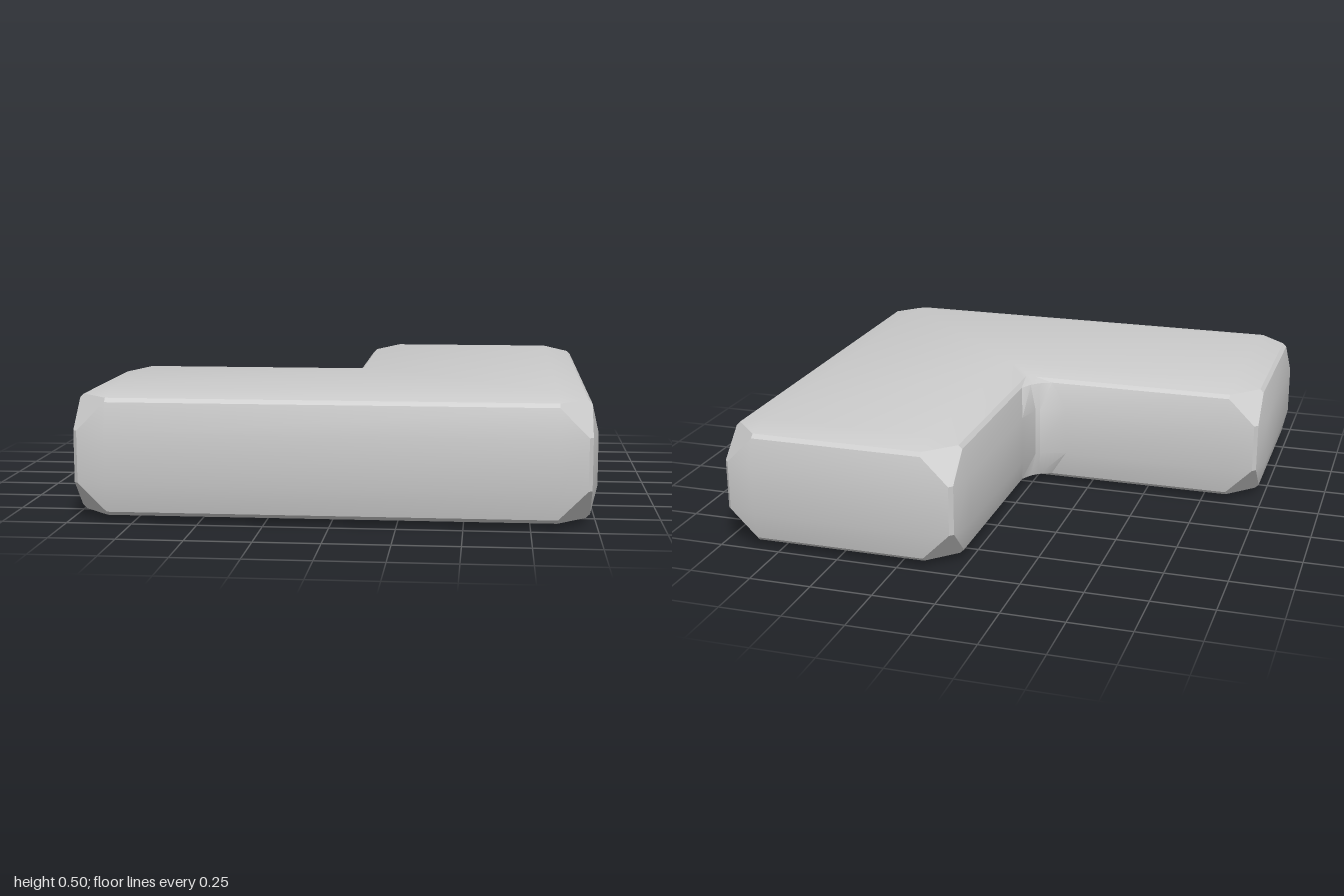
import * as THREE from 'three';
import { toCreasedNormals } from 'three/addons/utils/BufferGeometryUtils.js';

// L-shaped outline [x, z], clockwise seen from above; index 1 is the inner corner
const corners = [[-1, 0], [0, 0], [0, -1], [1, -1], [1, 1], [-1, 1]];
const INNER = 1;
const HEIGHT = 0.5;

// Each level: depth from the top face, and half a corner's points as
// [back along the incoming edge, forward along the outgoing edge]
const levels = [
  { depth: 0, outer: [[0.15, 0.15], [0.15, 0.15]], inner: [[-0.15, -0.15], [-0.15, -0.15]] },
  { depth: 0.025, outer: [[0.15, 0.04], [0.15, 0.04]], inner: [[0, -0.04], [-0.03, -0.04]] },
  { depth: 0.04, outer: [[0.15, 0.025], [0.15, 0.025]], inner: [[0.08, -0.025], [0.03, 0]] },
  { depth: 0.15, outer: [[0.15, 0], [0.04, 0.025]], inner: [[0.15, 0], [0.04, 0.025]] },
];

// Closed ring of points, four per corner
function ring(level, y) {
  const n = corners.length;
  return corners.flatMap(([x, z], i) => {
    const [px, pz] = corners[(i + n - 1) % n];
    const [nx, nz] = corners[(i + 1) % n];
    const din = [Math.sign(x - px), Math.sign(z - pz)];
    const dout = [Math.sign(nx - x), Math.sign(nz - z)];
    const half = i === INNER ? level.inner : level.outer;
    const all = [...half, ...half.map(([p, q]) => [q, p]).reverse()];
    return all.map(([p, q]) => new THREE.Vector3(
      x - din[0] * p + dout[0] * q, y, z - din[1] * p + dout[1] * q));
  });
}

function slabGeometry() {
  const positions = [];
  const tri = (a, b, c) => {
    const area = b.clone().sub(a).cross(c.clone().sub(a)).length();
    if (area > 1e-7) for (const p of [a, b, c]) positions.push(p.x, p.y, p.z);
  };

  // Rings from the top down, the lower half mirroring the upper
  const rings = [
    ...levels.map((l) => ring(l, HEIGHT - l.depth)),
    ...[...levels].reverse().map((l) => ring(l, l.depth)),
  ];
  for (let r = 0; r < rings.length - 1; r++) {
    const up = rings[r], low = rings[r + 1];
    for (let i = 0; i < up.length; i++) {
      const j = (i + 1) % up.length;
      tri(up[i], up[j], low[j]);
      tri(up[i], low[j], low[i]);
    }
  }

  // Flat top and bottom, fanned out from the inner corner
  const top = rings[0], bottom = rings[rings.length - 1];
  for (let k = 1; k < corners.length - 1; k++) {
    const b = ((INNER + k) % corners.length) * 4;
    const c = ((INNER + k + 1) % corners.length) * 4;
    tri(top[c], top[b], top[INNER * 4]);
    tri(bottom[INNER * 4], bottom[b], bottom[c]);
  }

  const geometry = new THREE.BufferGeometry();
  geometry.setAttribute('position', new THREE.Float32BufferAttribute(positions, 3));
  return toCreasedNormals(geometry, 0.42);
}

export function createModel() {
  const group = new THREE.Group();
  group.name = 'cornerBlock';
  const slab = new THREE.Mesh(slabGeometry(), new THREE.MeshStandardMaterial({ color: 0xcccccc }));
  slab.name = 'bevelledSlab';
  group.add(slab);
  return group;
}
